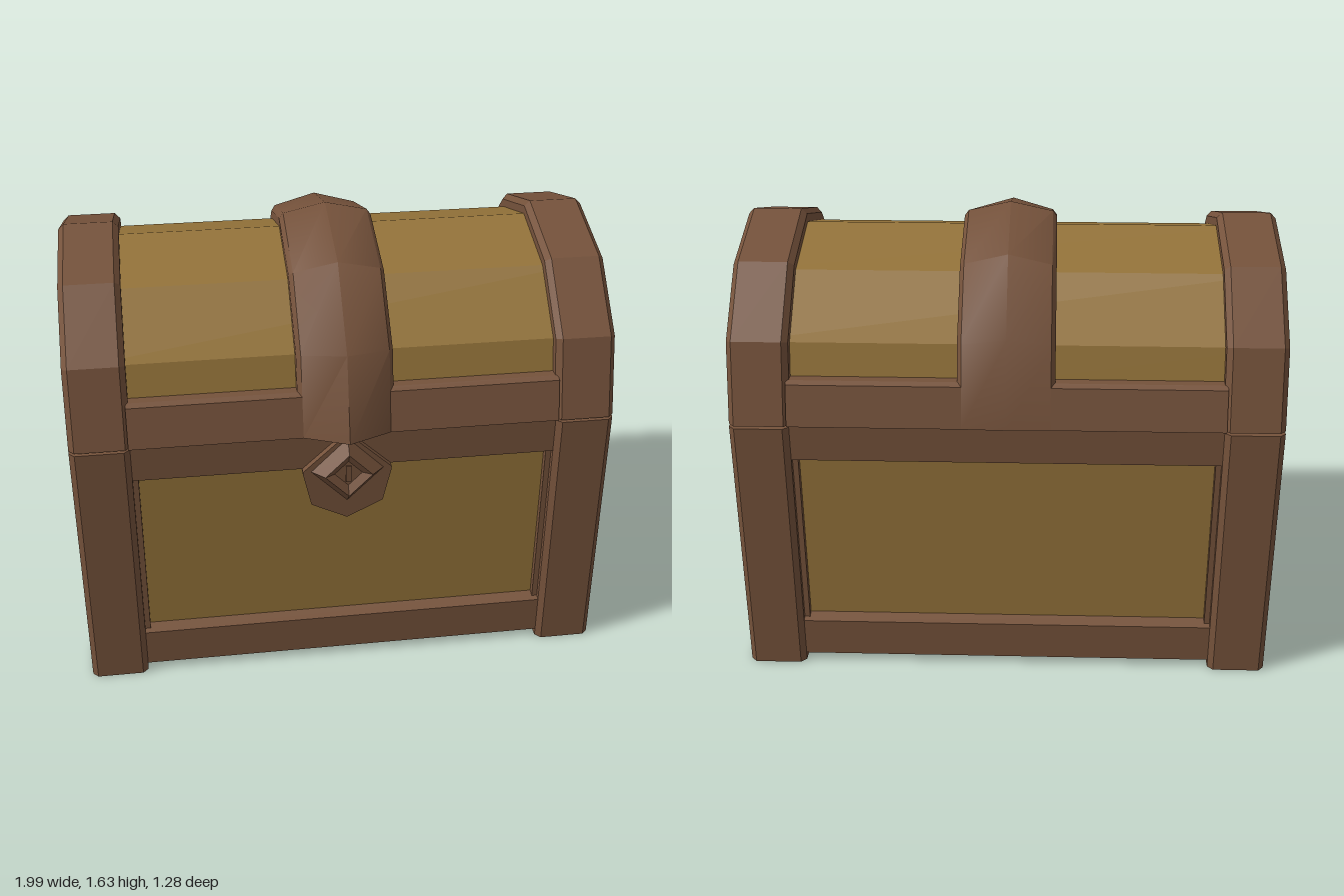
import * as THREE from 'three';
import { toCreasedNormals } from 'three/addons/utils/BufferGeometryUtils.js';

const brown = new THREE.MeshStandardMaterial({ color: 0x75523b });
brown.name = 'brown wood';
const gold = new THREE.MeshStandardMaterial({ color: 0x94733a });
gold.name = 'golden planks';

function add(parent, name, geometry, material, x = 0, y = 0, z = 0) {
  const mesh = new THREE.Mesh(geometry, material);
  mesh.name = name;
  mesh.position.set(x, y, z);
  parent.add(mesh);
  return mesh;
}

const flat = (geometry) => toCreasedNormals(geometry, 0.15);

// Full [z, y] loop, front to back, from its front half (last point is the peak)
const arch = (half) => [...half, ...half.slice(0, -1).reverse().map(([z, y]) => [-z, y])];
const blend = (a, b, t) => a.map((p, i) => p.map((v, k) => v + (b[i][k] - v) * t));

// Skin over closed [z, y] loops placed at rising x, optionally capped
function loft(sections, crease = 0.15, caps = false) {
  const n = sections[0][1].length;
  const pos = [];
  const index = [];
  for (const [x, loop] of sections) for (const [z, y] of loop) pos.push(x, y, z);
  for (let i = 0; i < sections.length - 1; i++) {
    for (let j = 0; j < n; j++) {
      const k = (j + 1) % n;
      const a = i * n + j, b = i * n + k, c = b + n, d = a + n;
      index.push(a, d, c, a, c, b);
    }
  }
  if (caps) {
    const e = (sections.length - 1) * n;
    for (let j = 1; j < n - 1; j++) index.push(0, j, j + 1, e, e + j + 1, e + j);
  }
  const g = new THREE.BufferGeometry();
  g.setAttribute('position', new THREE.Float32BufferAttribute(pos, 3));
  g.setIndex(index);
  return toCreasedNormals(g, crease);
}

function polygon(points) {
  return new THREE.Shape(points.map(([x, y]) => new THREE.Vector2(x, y)));
}

function buildLid(chest) {
  const lid = new THREE.Group();
  lid.name = 'lid';
  chest.add(lid);

  const outer = arch([[0.605, 1], [0.535, 1.29], [0.32, 1.505], [0, 1.6]]);
  const inner = arch([[0.55, 1], [0.485, 1.27], [0.285, 1.465], [0, 1.55]]);
  const opening = arch([[0.46, 1.09], [0.425, 1.21], [0.245, 1.385], [0, 1.46]]);
  const recess = arch([[0.44, 1.1], [0.41, 1.215], [0.235, 1.372], [0, 1.445]]);
  const crown = [[0.67, 1], [0.58, 1.3], [0.34, 1.545], [0, 1.635], [-0.33, 1.545], [-0.54, 1.31], [-0.61, 1]];
  const shoulder = blend(inner, outer, 0.6);

  // Plank barrel, also seen through the end openings
  const barrel = inner.map(([z, y]) => [z, Math.max(y, 1.02)]);
  add(lid, 'lidPlanks', loft([[-0.925, barrel], [0.925, barrel]], 0.15, true), gold);

  // Rim along the front and back
  const rim = [[0.605, 1], [0.57, 1.145], [0.55, 1.155], [-0.55, 1.155], [-0.57, 1.145], [-0.605, 1]];
  add(lid, 'lidRim', loft([[-0.765, rim], [0.765, rim]]), brown);

  // End bands with arched openings
  const band = [
    [0.755, inner], [0.755, shoulder], [0.775, outer], [0.95, outer],
    [0.97, shoulder], [0.97, opening], [0.955, opening], [0.92, recess],
  ];
  add(lid, 'leftBand', loft(band), brown);
  add(lid, 'rightBand', loft(band.map(([x, p]) => [-x, p]).reverse()), brown);

  // Ridged centre band
  add(lid, 'middleBand', loft([
    [-0.17, inner], [-0.17, shoulder], [-0.155, outer], [0, crown],
    [0.155, outer], [0.17, shoulder], [0.17, inner],
  ], 0.65), brown);
}

function buildBody(chest) {
  const body = new THREE.Group();
  body.name = 'body';
  chest.add(body);

  add(body, 'panels', new THREE.BoxGeometry(1.78, 0.92, 1.08), gold, 0, 0.51, 0);
  add(body, 'floor', new THREE.BoxGeometry(1.86, 0.03, 1.13), brown, 0, 0.045, 0);
  add(body, 'lidSeat', new THREE.BoxGeometry(1.76, 0.05, 1.08), brown, 0, 0.975, 0);

  // Chamfered corner posts
  const h = 0.105, c = 0.085;
  const postShape = polygon([[-c, -h], [c, -h], [h, -c], [h, c], [c, h], [-c, h], [-h, c], [-h, -c]]);
  const post = flat(new THREE.ExtrudeGeometry(postShape, { depth: 0.99, bevelEnabled: false }).rotateX(-Math.PI / 2));
  for (const x of [-0.865, 0.865]) for (const z of [-0.5, 0.5]) add(body, 'cornerPost', post, brown, x, 0, z);

  // Rails with bevelled inner edges: outward distance, half length
  for (let i = 0; i < 4; i++) {
    const [d, half] = i % 2 ? [0.95, 0.38] : [0.585, 0.74];
    const side = new THREE.Group();
    side.name = ['frontFrame', 'leftFrame', 'backFrame', 'rightFrame'][i];
    side.rotation.y = i * Math.PI / 2;
    body.add(side);
    const back = d - 0.07;
    const profiles = {
      bottomRail: [[back, 0.03], [d, 0.03], [d, 0.175], [d - 0.05, 0.19], [back, 0.19]],
      topRail: [[back, 0.845], [d - 0.05, 0.845], [d, 0.86], [d, 0.99], [back, 0.99]],
    };
    const length = 2 * half + 0.06;
    for (const [name, points] of Object.entries(profiles)) {
      const g = new THREE.ExtrudeGeometry(polygon(points), { depth: length, bevelEnabled: false });
      g.translate(0, 0, -length / 2).rotateY(-Math.PI / 2);
      add(side, name, flat(g), brown);
    }
    for (const s of [-1, 1]) {
      add(side, 'edgeStrip', new THREE.BoxGeometry(0.04, 0.7, 0.05), brown, s * (half + 0.02), 0.515, d - 0.045);
    }
  }
}

function buildHandle(chest, s) {
  const handle = new THREE.Group();
  handle.name = s > 0 ? 'leftHandle' : 'rightHandle';
  handle.rotation.y = s * Math.PI / 2;
  chest.add(handle);

  // Octagonal ring stretched sideways
  const ring = new THREE.TorusGeometry(0.08, 0.019, 6, 8).rotateZ(Math.PI / 8);
  const p = ring.attributes.position;
  for (let i = 0; i < p.count; i++) p.setX(i, p.getX(i) + Math.sign(p.getX(i)) * 0.077);
  const grip = add(handle, 'handleRing', flat(ring), brown, 0, 0.857, 0.967);
  grip.rotation.x = -0.12;

  const barrel = new THREE.CylinderGeometry(0.042, 0.042, 0.205, 8).rotateZ(Math.PI / 2);
  add(handle, 'handleBracket', flat(barrel), brown, 0, 0.922, 0.945);
  add(handle, 'handlePlate', new THREE.BoxGeometry(0.21, 0.02, 0.02), brown, 0, 0.975, 0.955);
}

function buildLock(chest) {
  const lock = new THREE.Group();
  lock.name = 'lock';
  chest.add(lock);

  const plate = polygon([[0, 0.655], [0.13, 0.72], [0.16, 0.85], [0.16, 0.86], [0.02, 0.99],
    [-0.02, 0.99], [-0.16, 0.86], [-0.16, 0.85], [-0.13, 0.72]]);
  add(lock, 'lockPlate', flat(new THREE.ExtrudeGeometry(plate, { depth: 0.08, bevelEnabled: false })), brown, 0, 0, 0.53);

  // Raised diamond with a sunken centre
  const profile = [[0.13, 0], [0.085, 0.045], [0.05, 0.025], [0, 0.025]].map(([r, y]) => new THREE.Vector2(r, y));
  const diamond = new THREE.LatheGeometry(profile, 4).rotateX(Math.PI / 2);
  add(lock, 'lockDiamond', flat(diamond), brown, 0, 0.86, 0.61);
  add(lock, 'keyhole', new THREE.BoxGeometry(0.02, 0.065, 0.008), brown, 0, 0.86, 0.638);
}

export function createModel() {
  const model = new THREE.Group();
  model.name = 'treasureChest';
  const chest = new THREE.Group();
  chest.name = 'chest';
  chest.position.z = -0.03;
  model.add(chest);
  buildBody(chest);
  buildLid(chest);
  buildHandle(chest, 1);
  buildHandle(chest, -1);
  buildLock(chest);
  return model;
}
